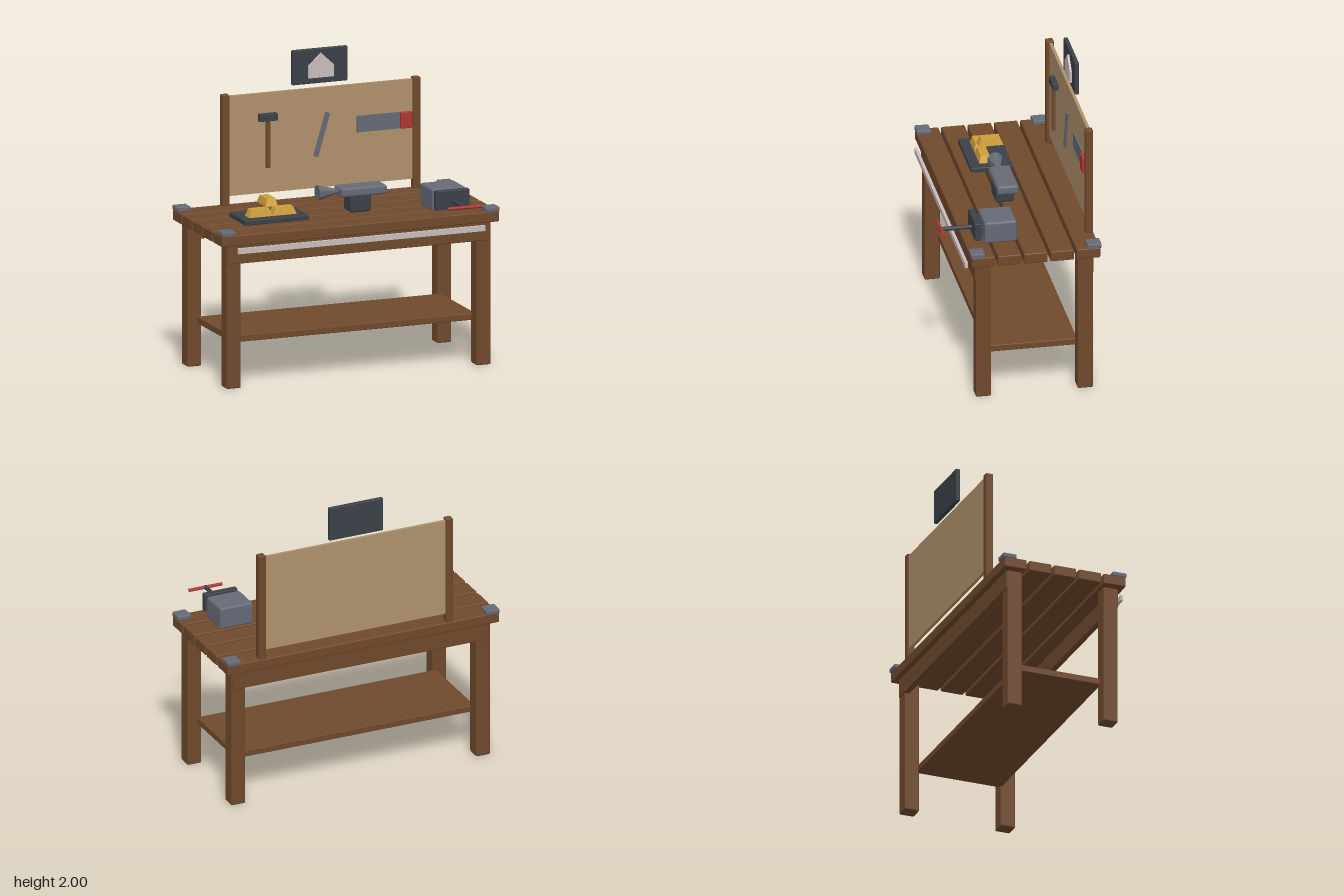
import * as THREE from 'three';
import { RoundedBoxGeometry } from 'three/addons/geometries/RoundedBoxGeometry.js';

const material = (name, color) => {
  const m = new THREE.MeshStandardMaterial({ color });
  m.name = name;
  return m;
};

export function createModel() {
  const model = new THREE.Group();
  model.name = 'workbench';
  const wood = material('brown wood', 0x70492c);
  const board = material('tan board', 0xb0926c);
  const iron = material('dark iron', 0x3b4148);
  const steel = material('grey steel', 0x666a76);
  const gold = material('gold', 0xcf9e38);
  const red = material('red paint', 0xb0352d);
  const pale = material('pale paint', 0xc9bdbd);

  const add = (name, geometry, mat, x = 0, y = 0, z = 0, parent = model) => {
    const mesh = new THREE.Mesh(geometry, mat);
    mesh.name = name;
    mesh.position.set(x, y, z);
    parent.add(mesh);
    return mesh;
  };
  // Box given by its limits on each axis, with an optional small bevel
  const box = (name, mat, [x0, x1], [y0, y1], [z0, z1], bevel = 0) => {
    const size = [x1 - x0, y1 - y0, z1 - z0];
    const geometry = bevel
      ? new RoundedBoxGeometry(...size, 1, bevel)
      : new THREE.BoxGeometry(...size);
    return add(name, geometry, mat, (x0 + x1) / 2, (y0 + y1) / 2, (z0 + z1) / 2);
  };

  // Bench top: five planks with gaps
  for (let i = 0; i < 5; i++) {
    const z = -0.5 + i * 0.1725;
    box('topPlank', wood, [-0.967, 0.965], [0.95, 1.02], [z, z + 0.155], 0.008);
  }

  // Legs and steel corner plates
  for (const s of [-1, 1]) {
    const span = (a, b) => (s > 0 ? [a, b] : [-b, -a]);
    for (const z of [-0.41, 0.258]) {
      box('leg', wood, span(0.82, 0.92), [0, 0.95], [z - 0.051, z + 0.051], 0.01);
    }
    for (const z of [-0.462, 0.302]) {
      box('cornerPlate', steel, span(0.872, 0.966), [1.018, 1.048], [z - 0.047, z + 0.047], 0.006);
    }
  }

  // Aprons, lower shelf and ruler
  box('frontApron', wood, [-0.912, 0.912], [0.825, 0.948], [0.275, 0.315], 0.006);
  box('backApron', wood, [-0.912, 0.912], [0.825, 0.948], [-0.467, -0.427], 0.006);
  box('shelf', wood, [-0.85, 0.85], [0.283, 0.327], [-0.37, 0.22], 0.005);
  box('ruler', pale, [-0.862, 0.857], [0.902, 0.938], [0.348, 0.368]);

  // Tool board between two posts
  box('toolBoard', board, [-0.6, 0.7], [1.08, 1.742], [-0.486, -0.466]);
  for (const x of [-0.615, 0.715]) {
    box('boardPost', wood, [x - 0.025, x + 0.025], [1.018, 1.755], [-0.496, -0.446], 0.006);
  }

  // Sign with a house shape
  box('sign', iron, [-0.142, 0.242], [1.77, 2], [-0.5, -0.472], 0.006);
  const house = new THREE.Shape(
    [[-0.035, 1.81], [0.14, 1.81], [0.14, 1.89], [0.0525, 1.972], [-0.035, 1.89]]
      .map(([x, y]) => new THREE.Vector2(x, y)));
  add('houseSymbol', new THREE.ExtrudeGeometry(house, { depth: 0.015, bevelEnabled: false }),
    pale, 0, 0, -0.473);

  // Hanging tools
  box('hammerHandle', wood, [-0.34, -0.31], [1.25, 1.565], [-0.452, -0.43], 0.004);
  box('hammerHead', iron, [-0.39, -0.262], [1.56, 1.61], [-0.462, -0.423], 0.005);
  box('chisel', steel, [0.038, 0.068], [1.285, 1.582], [-0.458, -0.444]).rotation.z = -0.285;
  box('sawBlade', steel, [0.3, 0.605], [1.425, 1.533], [-0.46, -0.45]);
  box('sawHandle', red, [0.598, 0.682], [1.425, 1.533], [-0.462, -0.434], 0.006);

  // Tray with three tapered gold bars
  box('tray', iron, [-0.71, -0.264], [1.02, 1.052], [-0.165, 0.112], 0.005);
  const barShape = new THREE.BoxGeometry(0.165, 0.05, 0.08);
  const points = barShape.attributes.position;
  for (let i = 0; i < points.count; i++) {
    if (points.getY(i) > 0) {
      points.setX(i, points.getX(i) * 0.74);
      points.setZ(i, points.getZ(i) * 0.72);
    }
  }
  barShape.computeVertexNormals();
  add('goldBar', barShape, gold, -0.572, 1.077, 0.005);
  add('goldBar', barShape, gold, -0.406, 1.077, 0.005);
  add('goldBar', barShape, gold, -0.488, 1.135, -0.056).rotation.y = Math.PI / 2;

  // Anvil: waist, body and faceted horn
  box('anvilWaist', iron, [0.053, 0.2], [1.02, 1.14], [-0.085, 0.04], 0.015);
  box('anvilBody', steel, [-0.012, 0.308], [1.126, 1.187], [-0.095, 0.048], 0.016);
  const hornShape = new THREE.CylinderGeometry(0.008, 0.052, 0.16, 8).toNonIndexed();
  hornShape.rotateY(Math.PI / 8).rotateZ(-Math.PI / 2).computeVertexNormals();
  add('anvilHorn', hornShape, steel, -0.074, 1.16, -0.023);

  // Vise: fixed block, moving jaw, screw and cross handle
  box('viseBlock', steel, [0.546, 0.78], [1.025, 1.172], [0.01, 0.224], 0.014);
  box('viseJaw', iron, [0.546, 0.78], [1.05, 1.172], [0.243, 0.288], 0.006);
  add('viseScrew', new THREE.CylinderGeometry(0.014, 0.014, 0.28, 12), iron, 0.663, 1.101, 0.352)
    .rotation.x = Math.PI / 2;
  add('viseHandle', new THREE.CylinderGeometry(0.011, 0.011, 0.235, 10), red, 0.663, 1.101, 0.489)
    .rotation.z = Math.PI / 2;

  return model;
}
